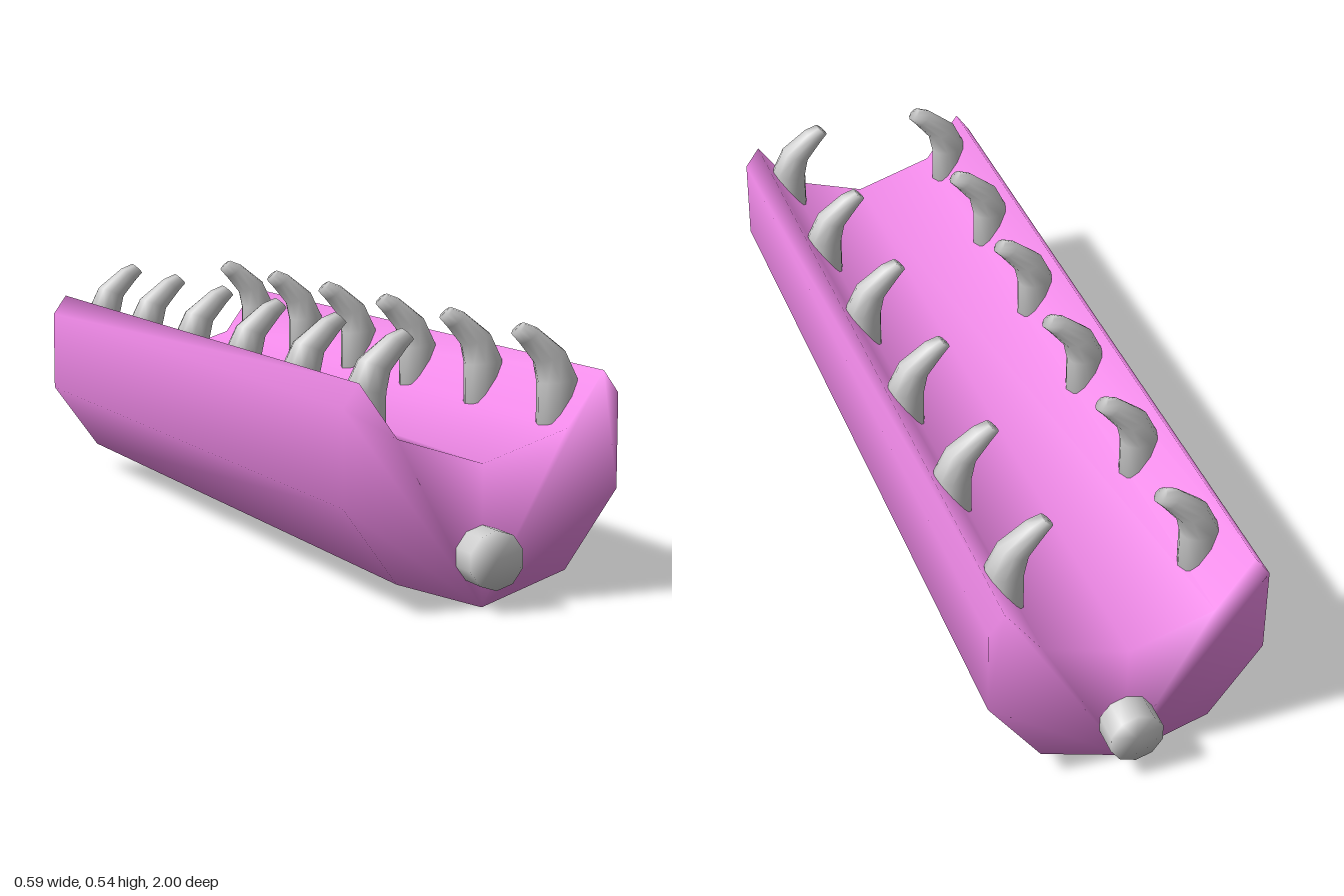
import * as THREE from 'three';
import { mergeVertices } from 'three/addons/utils/BufferGeometryUtils.js';

const pink = new THREE.MeshStandardMaterial({ color: 0xee88e6 });
const grey = new THREE.MeshStandardMaterial({ color: 0xcccccc });

// Weld all corners so the shading runs smoothly over every edge
function weld(geometry) {
  geometry.deleteAttribute('uv');
  geometry.deleteAttribute('normal');
  const welded = mergeVertices(geometry, 1e-4);
  welded.computeVertexNormals();
  return welded;
}

// Curved horn: each section is given by its outer and inner point
function hornGeometry(side) {
  const sections = [
    [0.250, 0.28, 0.167, 0.28],
    [0.249, 0.43, 0.167, 0.42],
    [0.222, 0.485, 0.158, 0.46],
    [0.162, 0.531, 0.125, 0.50],
    [0.133, 0.542, 0.108, 0.518],
  ];
  const sides = 10, positions = [], index = [];
  for (const [ox, oy, ix, iy] of sections) {
    const r = Math.hypot(ox - ix, oy - iy) / 2;
    for (let j = 0; j < sides; j++) {
      const a = (j / sides) * Math.PI * 2, c = Math.cos(a) / 2;
      positions.push(
        side * ((ox + ix) / 2 + (ox - ix) * c),
        (oy + iy) / 2 + (oy - iy) * c,
        Math.sin(a) * r,
      );
    }
  }
  const tri = (a, b, c) => (side > 0 ? index.push(a, b, c) : index.push(a, c, b));
  for (let i = 0; i < sections.length - 1; i++) {
    for (let j = 0; j < sides; j++) {
      const a = i * sides + j, b = i * sides + (j + 1) % sides;
      tri(a, a + sides, b);
      tri(b, a + sides, b + sides);
    }
  }
  // End caps
  const top = (sections.length - 1) * sides;
  for (let j = 1; j < sides - 1; j++) {
    tri(0, j, j + 1);
    tri(top, top + j + 1, top + j);
  }
  const geometry = new THREE.BufferGeometry();
  geometry.setAttribute('position', new THREE.Float32BufferAttribute(positions, 3));
  geometry.setIndex(index);
  geometry.computeVertexNormals();
  return geometry;
}

export function createModel() {
  const model = new THREE.Group();
  model.name = 'hornedTrough';
  const add = (name, geometry, material, x = 0, y = 0, z = 0) => {
    const mesh = new THREE.Mesh(geometry, material);
    mesh.name = name;
    mesh.position.set(x, y, z);
    model.add(mesh);
  };

  // Trough: faceted half-round profile with a shallow V on top
  const half = [[0.182, 0.06], [0.295, 0.215], [0.295, 0.406], [0.262, 0.452], [0.182, 0.341]];
  const outline = [
    [0, 0], ...half, [0, 0.283],
    ...half.map(([x, y]) => [-x, y]).reverse(),
  ].map(([x, y]) => new THREE.Vector2(x, y));
  const body = new THREE.ExtrudeGeometry(new THREE.Shape(outline), { depth: 1.874, bevelEnabled: false });
  body.translate(0, 0, -0.937);
  add('trough', weld(body), pink);

  // Axle pegs at both ends
  for (const end of [1, -1]) {
    const peg = new THREE.CylinderGeometry(0.059, 0.059, 0.12, 10);
    peg.rotateX(Math.PI / 2);
    add(end > 0 ? 'frontPeg' : 'backPeg', weld(peg), grey, 0, 0.104, end * 0.94);
  }

  // Two rows of inward-curving horns
  for (const side of [1, -1]) {
    const horn = hornGeometry(side);
    for (let i = 0; i < 6; i++) {
      add(side > 0 ? 'leftHorn' : 'rightHorn', horn, grey, 0, 0, -0.78 + i * 0.325);
    }
  }
  return model;
}
